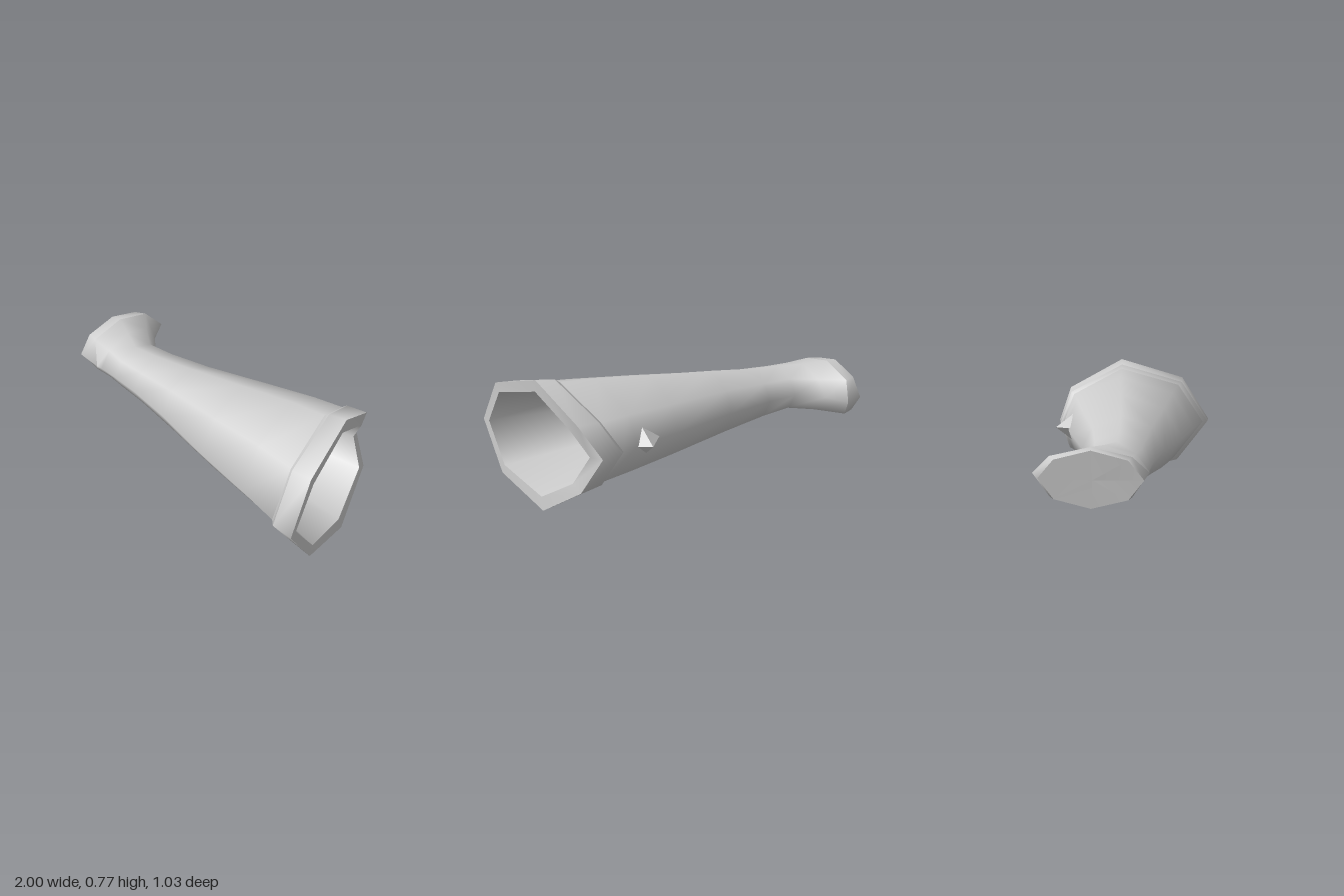
import * as THREE from 'three';

// Eight corners of a section, seen from the open end: top, front, bottom, back.
// Each is [z, y] in 0..1; sections blend from WIDE (open end) to ROUND (foot).
const WIDE = [[.41, 1], [.82, .83], [1, .47], [.79, .12], [.38, 0], [.055, .28], [0, .53], [.07, .78]];
const ROUND = [[.5, 1], [.85, .84], [1, .5], [.85, .16], [.5, 0], [.15, .16], [0, .52], [.15, .84]];
const STATION = [2, 1, 0, 1, 2, 3, 4, 3]; // which x value each corner uses

// xs: x at front, front diagonals, top and bottom, back diagonals, back
function ring(xs, zBack, zFront, yLow, yHigh, round = 0) {
  return WIDE.map((w, i) => {
    const z = THREE.MathUtils.lerp(w[0], ROUND[i][0], round);
    const y = THREE.MathUtils.lerp(w[1], ROUND[i][1], round);
    return [
      Array.isArray(xs) ? xs[STATION[i]] : xs,
      THREE.MathUtils.lerp(yLow, yHigh, y),
      THREE.MathUtils.lerp(zBack, zFront, z),
    ];
  });
}

const point = (x, y, z) => WIDE.map(() => [x, y, z]);

// Smooth skin over a row of rings
function loft(name, rings, material) {
  const n = WIDE.length;
  const index = [];
  for (let r = 0; r < rings.length - 1; r++) {
    for (let i = 0; i < n; i++) {
      const a = r * n + i, b = r * n + (i + 1) % n;
      index.push(a, b, a + n, b, b + n, a + n);
    }
  }
  const geometry = new THREE.BufferGeometry();
  geometry.setAttribute('position', new THREE.Float32BufferAttribute(rings.flat(2), 3));
  geometry.setIndex(index);
  geometry.computeVertexNormals();
  const mesh = new THREE.Mesh(geometry, material);
  mesh.name = name;
  return mesh;
}

export function createModel() {
  const group = new THREE.Group();
  group.name = 'flaredSleeve';
  const grey = new THREE.MeshStandardMaterial({ color: 0xcccccc });
  grey.name = 'light grey';

  // Foot: closed end and the short band around it
  const footEnd = ring([-1, -1, -.985, -.975, -.97], -.48, .065, .28, .585, 1);
  const footEdge = ring([-.83, -.93, -.92, -.905, -.855], -.515, .095, .275, .59, 1);
  group.add(loft('footCap', [point(-.985, .43, -.2), footEnd], grey));
  group.add(loft('footBand', [footEnd, footEdge], grey));

  // Body: narrow waist widening towards the cuff
  const bodyEnd = ring([.84, .83, .77, .68, .58], -.42, .47, .055, .73);
  group.add(loft('body', [
    footEdge,
    ring(-.79, -.38, .095, .29, .572, 1),
    ring(-.66, -.255, .11, .295, .562, 1),
    ring(-.48, -.255, .135, .27, .575, .9),
    ring(-.2, -.28, .195, .215, .612, .7),
    ring(.2, -.355, .31, .145, .665, .4),
    ring([.57, .57, .55, .5, .48], -.4, .4, .085, .712, .15),
    bodyEnd,
  ], grey));

  // Cuff: back step, outer band and flat rim
  const cuffBack = ring([.87, .855, .8, .7, .6], -.44, .503, .03, .752);
  const cuffFront = ring([1, .985, .915, .83, .72], -.45, .515, 0, .77);
  const mouth = ring([.99, .98, .91, .845, .76], -.375, .46, .075, .695);
  group.add(loft('cuffStep', [bodyEnd, cuffBack], grey));
  group.add(loft('cuffBand', [cuffBack, cuffFront], grey));
  group.add(loft('cuffRim', [cuffFront, mouth], grey));

  // Lining: hollow that closes to a point inside the body
  group.add(loft('lining', [
    mouth,
    ring(.3, -.31, .28, .18, .62, .4),
    ring(-.2, -.22, .13, .27, .555, .8),
    point(-.32, .4, -.04),
  ], grey));

  // Spike: four-sided stud on the back
  const stud = new THREE.ConeGeometry(1, 1, 4).toNonIndexed();
  stud.computeVertexNormals();
  const spike = new THREE.Mesh(stud, grey);
  spike.name = 'spike';
  spike.scale.set(.11, .11, .085);
  spike.rotation.set(-Math.PI / 2, .12, 0);
  spike.position.set(.42, .42, -.405);
  group.add(spike);

  return group;
}
